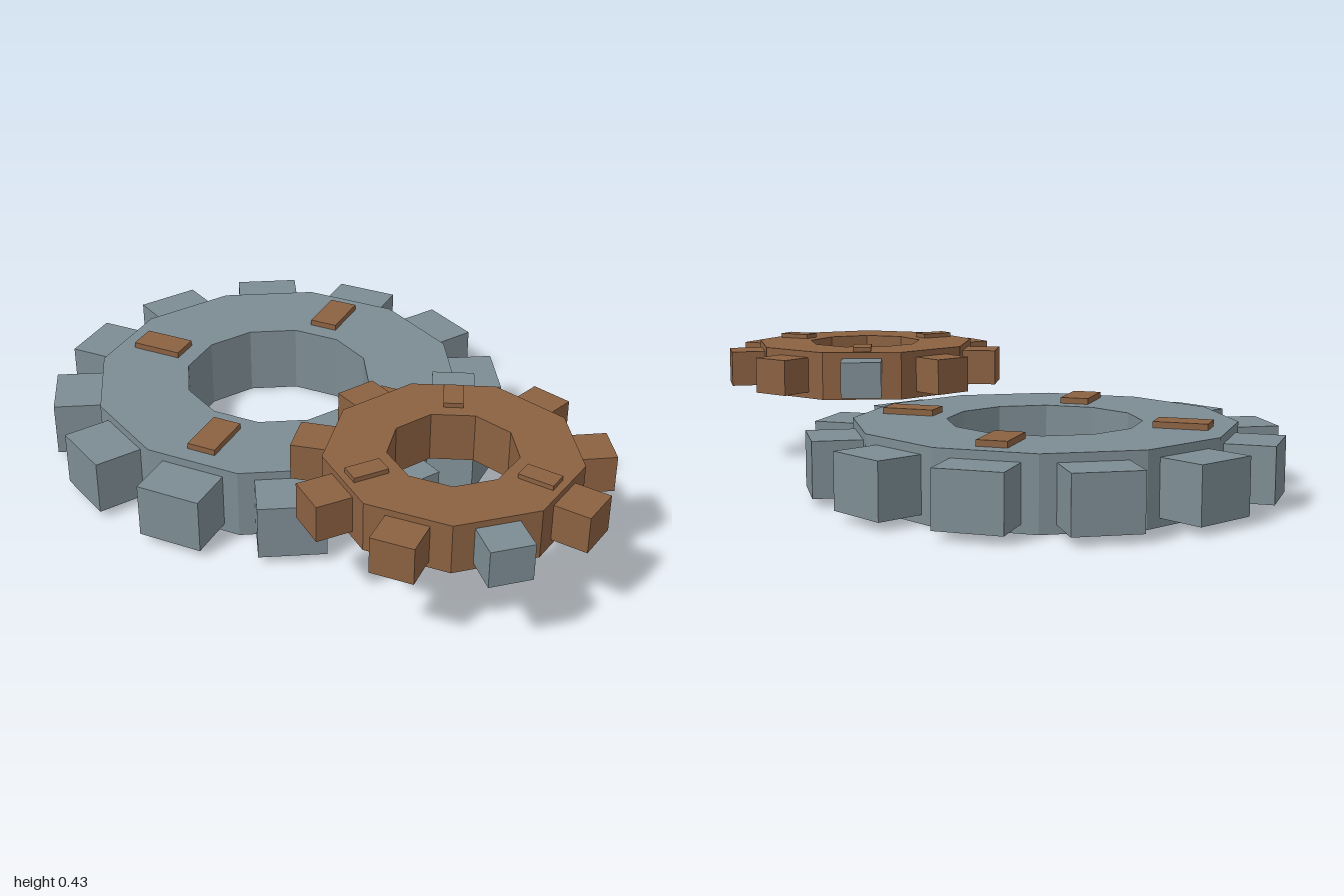
import * as THREE from 'three';

const steel = new THREE.MeshStandardMaterial({ color: 0x7d8d94 });
steel.name = 'slate steel';
const copper = new THREE.MeshStandardMaterial({ color: 0x8b6141 });
copper.name = 'copper brown';

// Corners of a regular polygon whose flat sides face the teeth
function polygon(radius, sides) {
  return Array.from({ length: sides }, (_, i) => {
    const a = ((i + 0.5) / sides) * Math.PI * 2;
    return new THREE.Vector2(radius * Math.cos(a), radius * Math.sin(a));
  });
}

// Flat ring with a polygonal bore, standing on y = 0
function ringGeometry(outer, inner, sides, height) {
  const shape = new THREE.Shape(polygon(outer, sides));
  shape.holes.push(new THREE.Path(polygon(inner, sides)));
  return new THREE.ExtrudeGeometry(shape, { depth: height, bevelEnabled: false }).rotateX(-Math.PI / 2);
}

// Boxes spread evenly around the axis, each pointing outwards
function addAround(group, name, count, [length, height, width], radius, y, materialAt) {
  const geometry = new THREE.BoxGeometry(length, height, width).translate(radius, y, 0);
  for (let i = 0; i < count; i++) {
    const mesh = new THREE.Mesh(geometry, materialAt(i));
    mesh.name = name + (i + 1);
    mesh.rotation.y = (-i / count) * Math.PI * 2;
    group.add(mesh);
  }
}

function gear(o) {
  const group = new THREE.Group();
  group.name = o.name;

  const ring = new THREE.Mesh(ringGeometry(o.outer, o.inner, o.teeth, o.height), o.material);
  ring.name = 'ring';
  group.add(ring);

  // Teeth, sunk a little into the ring
  const root = o.outer * Math.cos(Math.PI / o.teeth) - 0.03;
  addAround(group, 'tooth', o.teeth, [o.tip - root, o.toothHeight, o.toothWidth],
    (o.tip + root) / 2, o.height / 2, (i) => (o.oddTeeth.includes(i) ? steel : o.material));

  // Raised plates on the upper face
  const [length, rise, width] = o.plate;
  addAround(group, 'plate', o.plates, [length, rise + 0.01, width],
    o.plateRadius, o.height + (rise - 0.01) / 2, () => copper);

  group.position.set(...o.position);
  group.rotation.y = -THREE.MathUtils.degToRad(o.turn);
  return group;
}

export function createModel() {
  const model = new THREE.Group();
  model.name = 'gearPair';
  model.add(
    gear({
      name: 'largeGear', material: steel, teeth: 12, oddTeeth: [],
      outer: 0.619, inner: 0.315, height: 0.235,
      tip: 0.757, toothHeight: 0.18, toothWidth: 0.215,
      plates: 4, plate: [0.174, 0.02, 0.097], plateRadius: 0.452,
      position: [-0.237, 0, -0.129], turn: 6.6,
    }),
    gear({
      name: 'smallGear', material: copper, teeth: 9, oddTeeth: [1, 6],
      outer: 0.391, inner: 0.199, height: 0.162,
      tip: 0.483, toothHeight: 0.12, toothWidth: 0.135,
      plates: 3, plate: [0.113, 0.015, 0.062], plateRadius: 0.288,
      position: [0.515, 0.254, 0.405], turn: 15.5,
    }),
  );
  return model;
}
